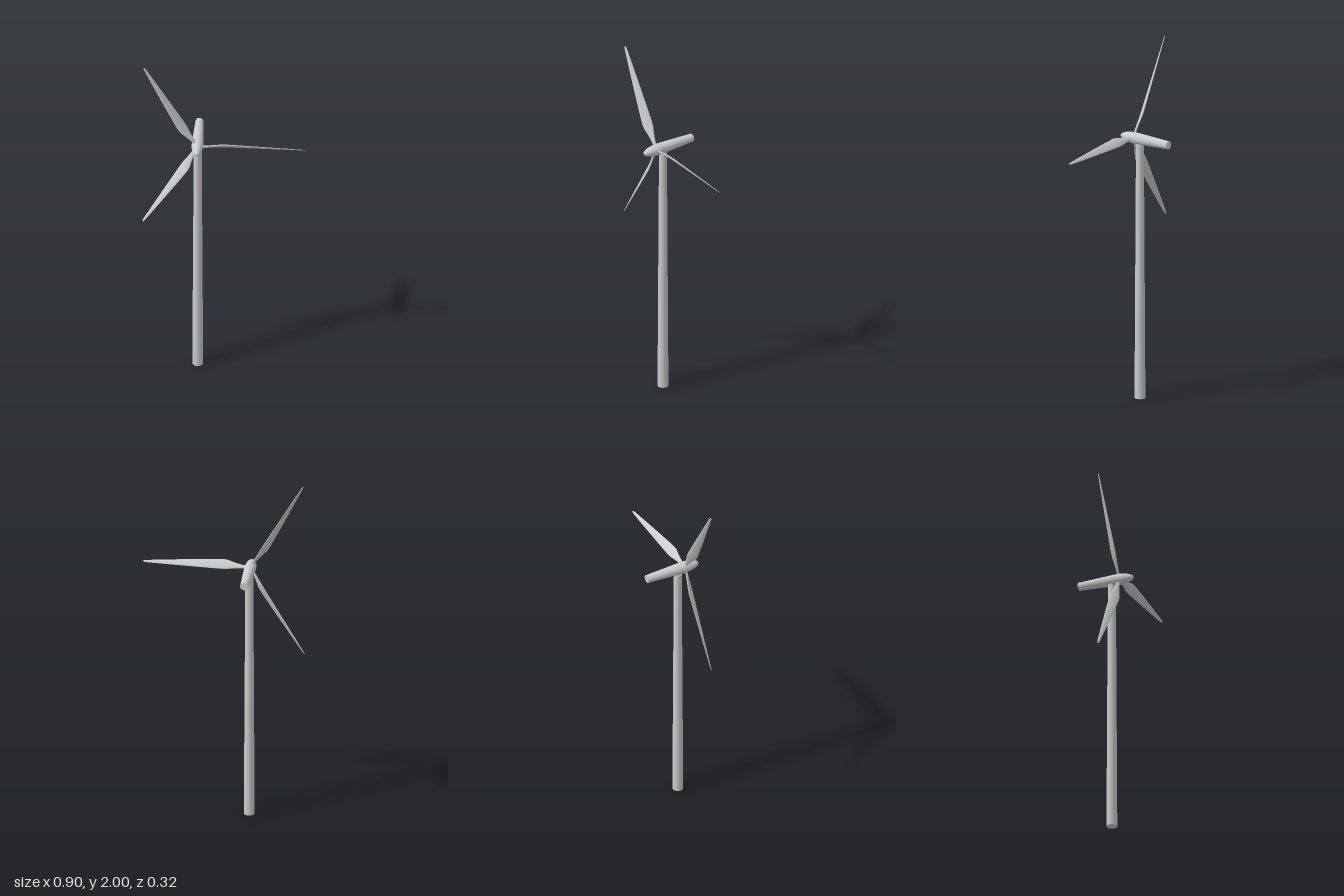
import * as THREE from 'three';

const HUB = new THREE.Vector3(-0.147, 1.486, 0.076);
const TOWER_Z = 0.031;

const material = new THREE.MeshStandardMaterial({ color: 0xcccccc });

function addMesh(parent, name, geometry, x = 0, y = 0, z = 0) {
  const mesh = new THREE.Mesh(geometry, material);
  mesh.name = name;
  mesh.position.set(x, y, z);
  parent.add(mesh);
  return mesh;
}

// Blade along +x: elliptical sections pitched 45 degrees about its length
function bladeGeometry() {
  // [distance from hub, half chord, half thickness, sideways offset]
  const sections = [
    [0.015, 0.008, 0.006, 0],
    [0.05, 0.011, 0.006, 0.001],
    [0.09, 0.018, 0.006, 0.005],
    [0.13, 0.0275, 0.006, 0.009],
    [0.16, 0.029, 0.006, 0.0095],
    [0.21, 0.027, 0.0055, 0.008],
    [0.35, 0.02, 0.004, 0.004],
    [0.5, 0.0115, 0.0025, -0.001],
    [0.58, 0.0065, 0.0015, -0.0035],
    [0.592, 0.004, 0.001, -0.004],
    [0.595, 0.0005, 0.0003, -0.004],
  ];
  const sides = 16;
  const positions = [];
  const index = [];
  for (const [r, chord, thick, offset] of sections) {
    for (let j = 0; j < sides; j++) {
      const a = (j / sides) * Math.PI * 2;
      const c = chord * Math.cos(a);
      const t = thick * Math.sin(a);
      positions.push(r, offset + (c - t) * Math.SQRT1_2, (c + t) * Math.SQRT1_2);
    }
  }
  for (let i = 0; i < sections.length - 1; i++) {
    for (let j = 0; j < sides; j++) {
      const k = (j + 1) % sides;
      const a = i * sides + j, b = i * sides + k;
      index.push(a, b, b + sides, a, b + sides, a + sides);
    }
  }
  // Close the tip
  const last = (sections.length - 1) * sides;
  for (let j = 1; j < sides - 1; j++) index.push(last, last + j, last + j + 1);

  // Reverse the winding if the faces point inward
  const geometry = new THREE.BufferGeometry();
  geometry.setAttribute('position', new THREE.Float32BufferAttribute(positions, 3));
  geometry.setIndex(index);
  geometry.computeVertexNormals();
  return geometry;
}

export function createModel() {
  const model = new THREE.Group();
  model.name = 'windTurbine';

  // Tapered tower and the narrow neck under the nacelle
  addMesh(model, 'tower', new THREE.CylinderGeometry(0.022, 0.03, 1.452, 32), HUB.x, 0.726, TOWER_Z);
  addMesh(model, 'towerNeck', new THREE.CylinderGeometry(0.019, 0.019, 0.03, 32), HUB.x, 1.462, TOWER_Z);

  // Nacelle: round body narrowing to a flat back
  const nacelle = new THREE.CylinderGeometry(0.0325, 0.0225, 0.226, 32);
  nacelle.rotateX(Math.PI / 2);
  addMesh(model, 'nacelle', nacelle, HUB.x, HUB.y, -0.051);

  // Rotor: bullet-shaped nose and three blades
  const rotor = new THREE.Group();
  rotor.name = 'rotor';
  rotor.position.copy(HUB);
  model.add(rotor);

  const profile = [];
  for (let i = 0; i <= 16; i++) {
    const a = (i / 16) * Math.PI / 2;
    profile.push(new THREE.Vector2(0.032 * Math.cos(a), 0.098 * Math.sin(a)));
  }
  const nose = new THREE.LatheGeometry(profile, 32);
  nose.rotateX(Math.PI / 2);
  addMesh(rotor, 'noseCone', nose, 0, 0, -0.014);

  const blade = bladeGeometry();
  for (let i = 0; i < 3; i++) {
    addMesh(rotor, `blade${i + 1}`, blade).rotation.z = (i * Math.PI * 2) / 3;
  }
  return model;
}
